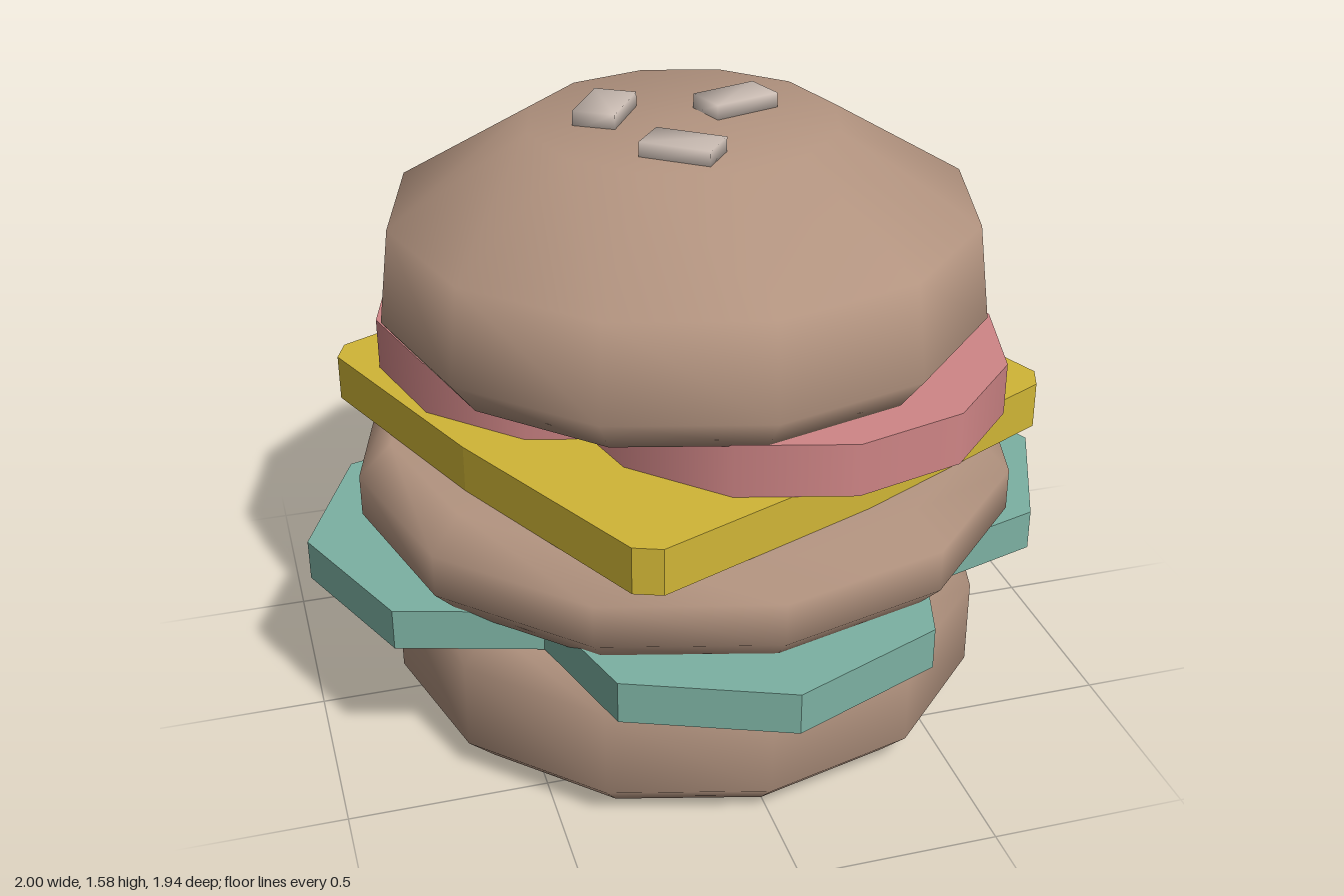
import * as THREE from 'three';
import { mergeVertices } from 'three/addons/utils/BufferGeometryUtils.js';

const mat = (name, color) => {
  const m = new THREE.MeshStandardMaterial({ color });
  m.name = name;
  return m;
};

export function createModel() {
  const group = new THREE.Group();
  const bread = mat('bread brown', 0xb39480);
  const leaf = mat('leaf green', 0x7cb1a2);
  const yellow = mat('cheese yellow', 0xd0b536);
  const pink = mat('tomato pink', 0xcf8586);
  const cream = mat('seed cream', 0xc9bbb2);

  const add = (name, geometry, material, x = 0, y = 0, z = 0) => {
    const mesh = new THREE.Mesh(geometry, material);
    mesh.name = name;
    mesh.position.set(x, y, z);
    group.add(mesh);
    return mesh;
  };

  // Twelve-sided smooth body from a [radius, height] profile, bottom to top
  const round = (profile) =>
    new THREE.LatheGeometry(profile.map(([r, y]) => new THREE.Vector2(r, y)), 12);

  // Flat slice from an [x, z] outline
  const slab = (outline, height) => {
    const shape = new THREE.Shape(outline.map(([x, z]) => new THREE.Vector2(x, -z)));
    return new THREE.ExtrudeGeometry(shape, { depth: height, bevelEnabled: false }).rotateX(-Math.PI / 2);
  };

  // Buns and patty
  add('bottomBun', round([[0, 0], [0.7, 0], [0.78, 0.08], [0.78, 0.31], [0.7, 0.395], [0, 0.395]]), bread);
  add('patty', round([[0, 0.47], [0.77, 0.47], [0.855, 0.56], [0.855, 0.67], [0.77, 0.75], [0, 0.75]]), bread);
  add('topBun', round([[0, 1], [0.7, 1], [0.77, 1.09], [0.74, 1.33], [0.39, 1.54], [0, 1.54]]), bread);

  // Lettuce: one quarter mirrored into four pointed lobes with notches between
  const quarter = [[1, 0], [0.84, 0.375], [0.49, 0.48], [0.39, 0.81], [0, 0.968]];
  const flip = (sx, sz) => quarter.map(([x, z]) => [x * sx, z * sz]);
  const lettuce = [
    ...flip(1, 1).slice(0, 4),
    ...flip(-1, 1).reverse().slice(0, 4),
    ...flip(-1, -1).slice(0, 4),
    ...flip(1, -1).reverse().slice(0, 4),
  ];
  add('lettuce', slab(lettuce, 0.108), leaf, 0, 0.392, 0);

  // Cheese: turned square with clipped corners and slightly bulging sides
  const cheese = [];
  for (let i = 0; i < 4; i++) {
    const a = THREE.MathUtils.degToRad(21 + i * 90);
    for (const [r, d] of [[0.905, -2.3], [0.905, 2.3], [0.69, 45]]) {
      const t = a + THREE.MathUtils.degToRad(d);
      cheese.push([r * Math.cos(t), r * Math.sin(t)]);
    }
  }
  add('cheese', slab(cheese, 0.12), yellow, 0, 0.75, 0);

  // Two overlapping tomato slices
  for (const s of [-1, 1]) {
    add(s < 0 ? 'backTomato' : 'frontTomato', new THREE.CylinderGeometry(0.56, 0.56, 0.135, 12), pink, 0.2 * s, 0.9375, 0.2 * s);
  }

  // Sesame seeds: small blocks with softened shading
  const block = new THREE.BoxGeometry(0.178, 0.05, 0.108);
  block.deleteAttribute('normal');
  block.deleteAttribute('uv');
  const seed = mergeVertices(block);
  seed.computeVertexNormals();
  [[-0.18, -0.07, 1.02], [0.145, -0.04, 0.3], [-0.07, 0.24, -0.655]].forEach(([x, z, turn], i) => {
    add('seed' + (i + 1), seed, cream, x, 1.552, z).rotation.y = turn;
  });

  return group;
}
